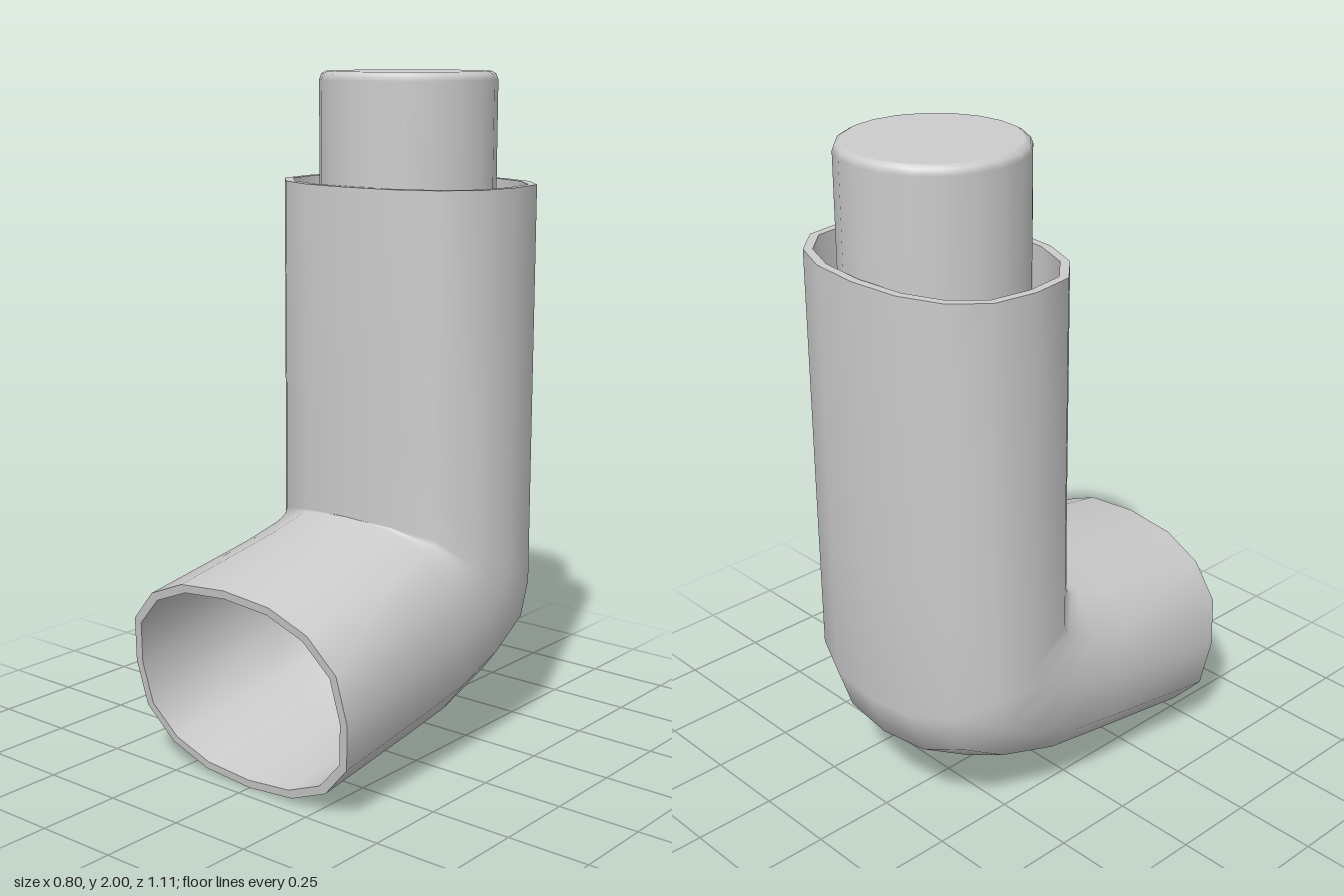
import * as THREE from 'three';

const WALL = 0.025;
const SIDES = 16;

// One quarter of the squarish oval section: [sideways, toward the inner bend]
const QUARTER = [[0, 1], [0.41, 0.95], [0.73, 0.775], [0.95, 0.46], [1, 0]];
const OVAL = Array.from({ length: SIDES }, (_, j) => {
  const q = j % 8;
  const [x, u] = QUARTER[q <= 4 ? q : 8 - q];
  return [j < 8 ? x : -x, j <= 4 || j >= 12 ? u : -u];
});

// Elbow stations: [inner bend z, y, outer bend z, y, half width]
const STATIONS = [
  [0.55, 0.615, 0.455, 0.005, 0.4],
  [0.15, 0.685, 0.06, 0.058, 0.393],
  [0.03, 0.715, -0.1, 0.08, 0.39],
  [0.03, 0.715, -0.33, 0.16, 0.39],
  [0.03, 0.715, -0.5, 0.265, 0.39],
  [0.03, 0.715, -0.55, 0.405, 0.39],
  [0.028, 0.95, -0.553, 0.85, 0.388],
  [0.025, 1.68, -0.555, 1.68, 0.387],
];

// Oval ring across a station, shrunk by an inset
function ring([iz, iy, oz, oy, width], inset = 0) {
  const cz = (iz + oz) / 2, cy = (iy + oy) / 2;
  const scale = 1 - inset / (Math.hypot(iz - oz, iy - oy) / 2);
  const hz = (iz - cz) * scale, hy = (iy - cy) * scale;
  return OVAL.map(([x, u]) => [x * (width - inset), cy + hy * u, cz + hz * u]);
}

// Smooth closed skin through a list of rings
function skin(rings) {
  const index = [];
  for (let i = 0; i < rings.length - 1; i++) {
    for (let j = 0; j < SIDES; j++) {
      const a = i * SIDES + j, b = i * SIDES + (j + 1) % SIDES;
      index.push(a, b, a + SIDES, b, b + SIDES, a + SIDES);
    }
  }
  const geo = new THREE.BufferGeometry();
  geo.setAttribute('position', new THREE.Float32BufferAttribute(rings.flat(2), 3));
  geo.setIndex(index);
  geo.computeVertexNormals();
  return geo;
}

export function createModel() {
  const model = new THREE.Group();
  model.name = 'inhaler';
  const material = new THREE.MeshStandardMaterial({ color: 0xcccccc });
  const add = (parent, name, geometry, mat = material) => {
    const mesh = new THREE.Mesh(geometry, mat);
    mesh.name = name;
    parent.add(mesh);
    return mesh;
  };

  // Hollow bent body with flat rims at both ends
  const body = new THREE.Group();
  body.name = 'body';
  model.add(body);
  const outer = STATIONS.map((s) => ring(s));
  const inner = STATIONS.map((s) => ring(s, WALL));
  const last = STATIONS.length - 1;
  add(body, 'outerWall', skin(outer));
  add(body, 'innerWall', skin([...inner].reverse()));
  add(body, 'mouthRim', skin([inner[0], outer[0]]));
  add(body, 'topRim', skin([outer[last], inner[last]]));

  // Partition closing the back of the mouthpiece
  const edge = ring([-0.07, 0.695, -0.165, 0.11, 0.368]);
  const centre = edge.map(() => [0, 0.4025, -0.1175]);
  const thin = new THREE.MeshStandardMaterial({ color: 0xcccccc, side: THREE.DoubleSide });
  add(body, 'partition', skin([centre, edge]), thin);

  // Canister with a softened top edge, standing in the upright tube
  const r = 0.262, top = 2, base = 0.75;
  const profile = [
    [0, base], [r, base], [r, base], [r, top - 0.025], [r - 0.006, top - 0.008],
    [r - 0.02, top], [r - 0.02, top], [0, top],
  ].map(([x, y]) => new THREE.Vector2(x, y));
  const canister = add(model, 'canister', new THREE.LatheGeometry(profile, 20));
  canister.position.z = -0.265;

  return model;
}
